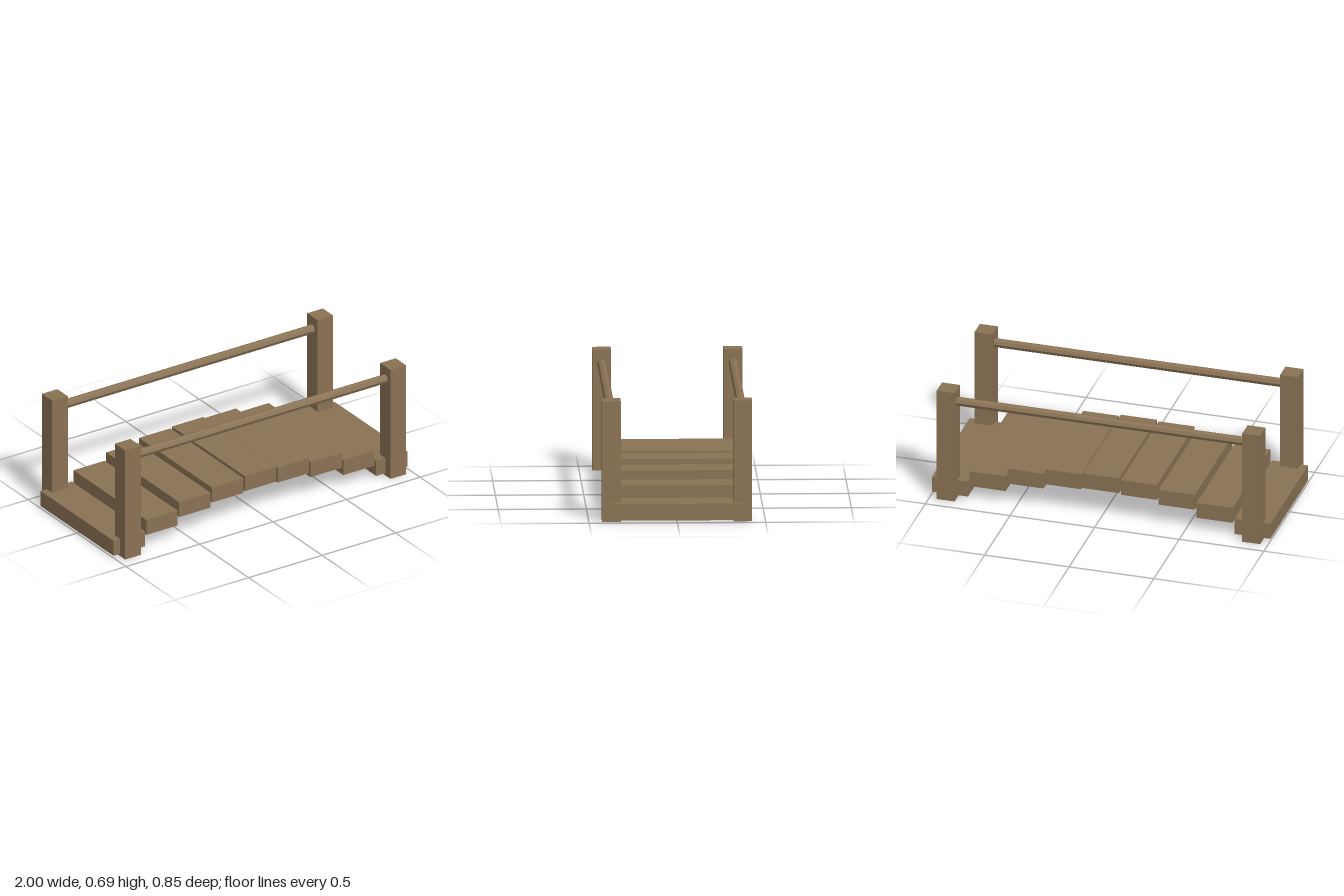
import * as THREE from 'three';

export function createModel() {
  const bridge = new THREE.Group();
  bridge.name = 'footbridge';
  const wood = new THREE.MeshStandardMaterial({ color: 0x8b7355 });
  wood.name = 'weathered wood';
  const railWood = wood.clone();
  railWood.flatShading = true;

  const add = (name, geometry, material, x, y, z) => {
    const mesh = new THREE.Mesh(geometry, material);
    mesh.name = name;
    mesh.position.set(x, y, z);
    bridge.add(mesh);
    return mesh;
  };

  // Arched deck: level planks stepping down from the middle
  const plankTops = [0.266, 0.257, 0.228, 0.178, 0.109];
  const plank = new THREE.BoxGeometry(0.213, 0.095, 0.744);
  for (let i = -4; i <= 4; i++) {
    add('plank', plank, wood, i * 0.2234, plankTops[Math.abs(i)] - 0.0475, 0);
  }

  // Corner posts
  const post = new THREE.BoxGeometry(0.106, 0.692, 0.106);
  for (const x of [-0.903, 0.903]) {
    for (const z of [-0.372, 0.372]) add('post', post, wood, x, 0.346, z);
  }

  // Eight-sided handrails let into the posts
  const rail = new THREE.CylinderGeometry(0.0265, 0.0265, 1.806, 8).rotateZ(Math.PI / 2);
  for (const z of [-0.372, 0.372]) add('handrail', rail, railWood, 0, 0.615, z);

  return bridge;
}
